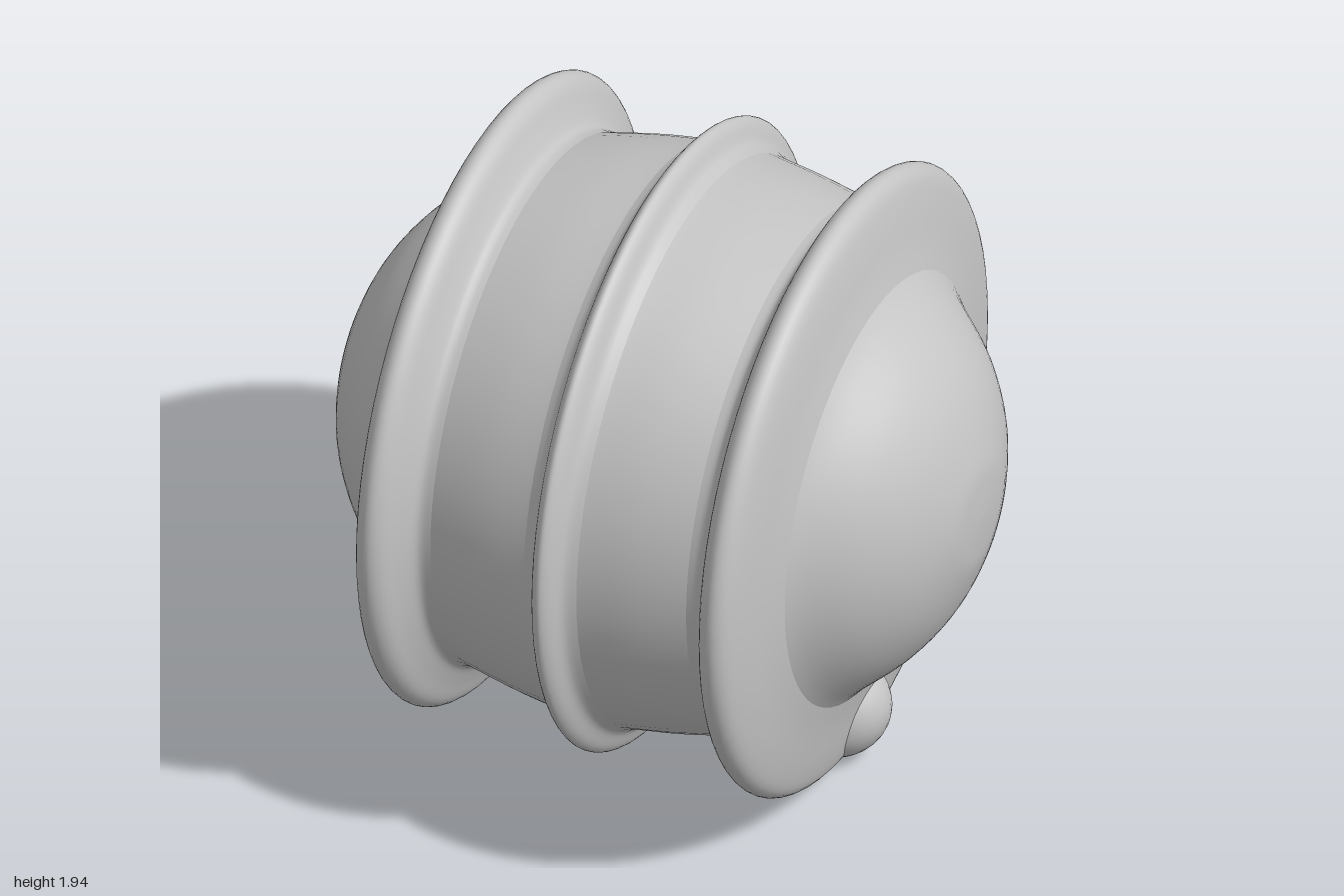
import * as THREE from 'three';

const CENTRE_Y = 0.983;

export function createModel() {
  const model = new THREE.Group();
  const grey = new THREE.MeshStandardMaterial({ color: 0xc4c4c4 });
  grey.name = 'plain grey';

  // Turns a smooth [x, radius] profile around the horizontal x axis
  function turned(name, profile, samples) {
    const curve = new THREE.SplineCurve(profile.map(([x, r]) => new THREE.Vector2(r, x)));
    const points = curve.getPoints(samples);
    points.forEach((p) => { p.x = Math.max(p.x, 0); });
    const geometry = new THREE.LatheGeometry(points, 72);
    geometry.rotateZ(-Math.PI / 2);
    const mesh = new THREE.Mesh(geometry, grey);
    mesh.name = name;
    mesh.position.y = CENTRE_Y;
    model.add(mesh);
  }

  // Mirrors a profile to -x, keeping x increasing
  const mirror = (profile) => profile.map(([x, r]) => [-x, r]).reverse();

  const dome = [[0.66, 0.66], [0.7, 0.615], [0.82, 0.5], [0.915, 0.36], [0.98, 0.19], [0.995, 0.09], [1, 0]];
  const flange = [[0.41, 0.808], [0.45, 0.817], [0.48, 0.87], [0.51, 0.935], [0.55, 0.96],
    [0.59, 0.935], [0.615, 0.86], [0.64, 0.74], [0.66, 0.66]];
  const drum = [[0.085, 0.868], [0.12, 0.862], [0.25, 0.842], [0.41, 0.808]];
  const rib = [[-0.085, 0.868], [-0.05, 0.89], [-0.025, 0.94], [0, 0.96], [0.025, 0.94], [0.05, 0.89], [0.085, 0.868]];

  // Domed ends, flanges and drum halves on both sides
  for (const [part, profile, samples] of [['Dome', dome, 24], ['Flange', flange, 32], ['Drum', drum, 10]]) {
    turned('left' + part, profile, samples);
    turned('right' + part, mirror(profile), samples);
  }
  turned('centreRib', rib, 24);

  // Rounded feet under the flanges and the rib
  const feet = [
    ['leftFoot', 0.515, 0.17, 0.178, 0.165, 0.16],
    ['centreFoot', 0, 0.14, 0.2, 0.135, 0.15],
    ['rightFoot', -0.515, 0.17, 0.178, 0.165, 0.16],
  ];
  for (const [name, x, y, rx, ry, rz] of feet) {
    const foot = new THREE.Mesh(new THREE.SphereGeometry(1, 32, 20), grey);
    foot.name = name;
    foot.position.set(x, y, 0);
    foot.scale.set(rx, ry, rz);
    model.add(foot);
  }

  return model;
}
